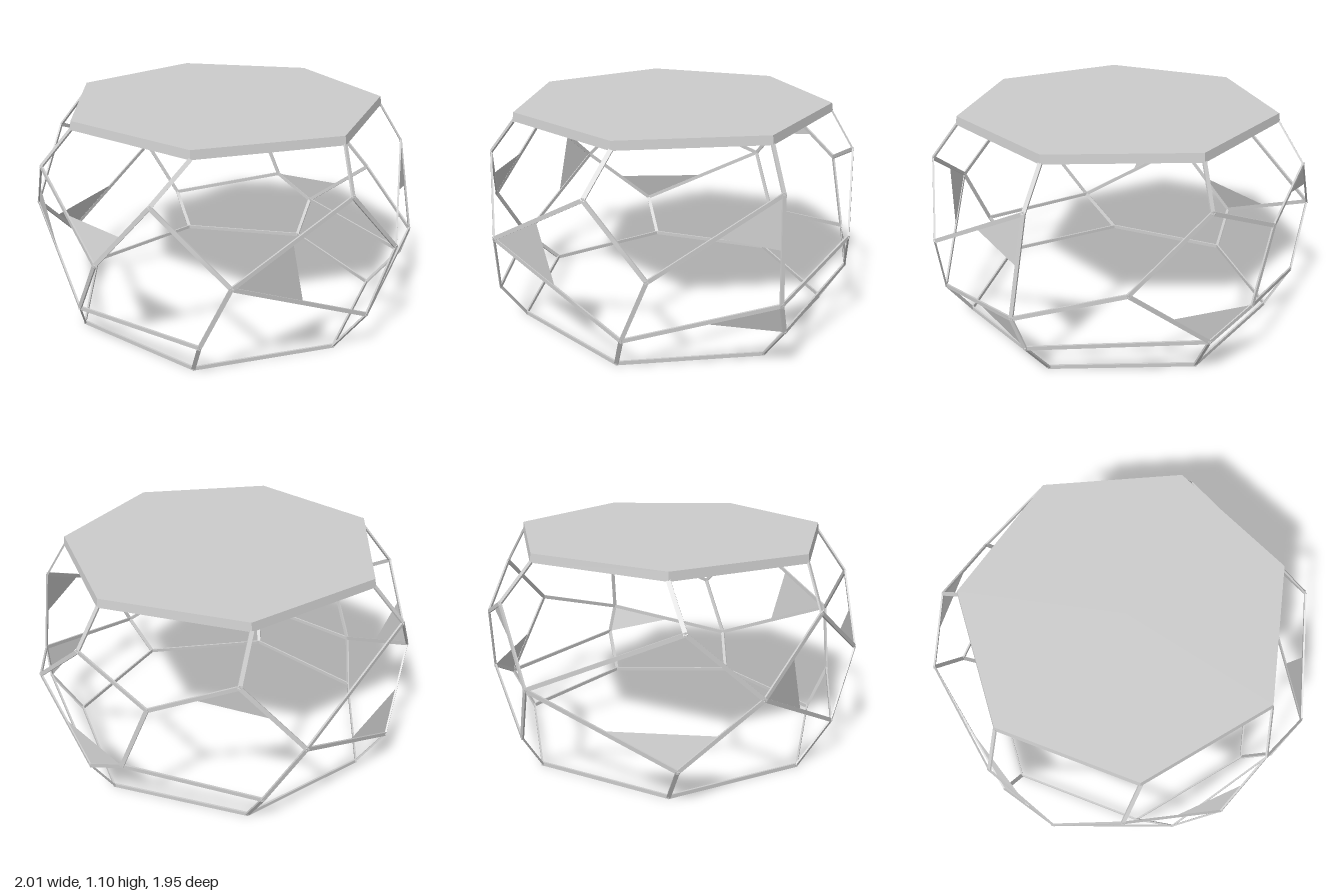
import * as THREE from 'three';

// Joints of the wire cage: seven uprights split into upper (U) and lower (L) joints, plus free joints between
const joints = {
  U0: [0.96, 0.87, 0.08], U1: [0.46, 0.87, 0.82], U2: [-0.29, 0.87, 0.91], U3: [-0.82, 0.87, 0.48],
  U4: [-0.82, 0.87, -0.48], U5: [-0.175, 0.87, -0.92], U6: [0.615, 0.87, -0.72],
  L0: [0.96, 0.215, -0.08], L1: [0.65, 0.215, 0.71], L2: [-0.01, 0.215, 0.92], L3: [-0.83, 0.215, 0.45],
  L4: [-0.865, 0.215, -0.37], L5: [-0.19, 0.215, -0.925], L6: [0.645, 0.215, -0.76],
  a: [0.995, 0.545, -0.22], b: [0.785, 0.545, 0.64], c: [0.215, 0.545, 0.96], d: [-0.615, 0.545, 0.77],
  e: [-0.995, 0.545, -0.235], f: [0.215, 0.545, -0.97],
  g: [-0.42, 0.345, -0.865], h: [0.70, 0.375, -0.75], i: [-0.54, 0.705, -0.78],
};

// Bars of the cage, each listed as its two end joints
const bars = [
  'U1-c', 'U1-b', 'U2-c', 'U2-d', 'U0-b', 'U0-a', 'U3-d', 'U3-e', 'U4-e', 'U4-i', 'U5-i', 'U5-f', 'U6-a', 'U6-h',
  'L0-a', 'L0-b', 'L0-h', 'L1-b', 'L1-L2', 'L2-c', 'L2-d', 'L3-d', 'L3-e', 'L4-e', 'L4-g', 'L5-g', 'L5-f',
  'L5-L6', 'L6-h', 'f-h', 'g-i',
];

// Panel corners; two joints with a dash mean the middle of that bar
const panels = [
  ['c', 'c-U1', 'c-U2'], ['d', 'd-U2', 'd-L2'], ['b', 'b-U0', 'b-L0'], ['U4', 'U4-i', 'U4-e'],
  ['L3', 'L3-d', 'L3-e'], ['U6', 'U6-a', 'U6-h'], ['h', 'h-L0', 'L6'], ['L5', 'L5-f', 'g'],
];

const SIDES = 7, RADIUS = 0.822, CENTRE_X = 0.01;
const BAR_WIDTH = 0.02, BAR_DEPTH = 0.009;
const TOP_Y = 1.104, SKIRT = 0.043;

export function createModel() {
  const group = new THREE.Group();
  const metal = new THREE.MeshStandardMaterial({ color: 0xcccccc, flatShading: true });
  const sheet = new THREE.MeshStandardMaterial({ color: 0xcccccc, flatShading: true, side: THREE.DoubleSide });

  function add(name, geometry, material) {
    const mesh = new THREE.Mesh(geometry, material);
    mesh.name = name;
    group.add(mesh);
    return mesh;
  }

  // Corners under the table top (T) and on the floor (B)
  const nodes = {};
  for (const [key, p] of Object.entries(joints)) nodes[key] = new THREE.Vector3(...p);
  for (let k = 0; k < SIDES; k++) {
    const t = (k / SIDES) * Math.PI * 2;
    const x = CENTRE_X + Math.cos(t) * RADIUS, z = Math.sin(t) * RADIUS;
    nodes['T' + k] = new THREE.Vector3(x, TOP_Y - SKIRT, z);
    nodes['B' + k] = new THREE.Vector3(x, BAR_WIDTH / 2, z);
  }

  // Flat bar between two points, its broad face turned outward
  function addBar(name, p, q) {
    const along = q.clone().sub(p);
    const length = along.length();
    along.normalize();
    const out = p.clone().add(q).setY(0);
    out.addScaledVector(along, -out.dot(along)).normalize();
    const across = along.clone().cross(out);
    const bar = add(name, new THREE.BoxGeometry(BAR_WIDTH, length + BAR_DEPTH, BAR_DEPTH), metal);
    bar.quaternion.setFromRotationMatrix(new THREE.Matrix4().makeBasis(across, along, out));
    bar.position.copy(p).add(q).multiplyScalar(0.5);
  }

  // Cage, struts, feet and floor ring
  for (const bar of bars) {
    const [p, q] = bar.split('-');
    addBar('cageBar', nodes[p], nodes[q]);
  }
  for (let k = 0; k < SIDES; k++) {
    addBar('topStrut', nodes['T' + k], nodes['U' + k]);
    addBar('foot', nodes['L' + k], nodes['B' + k]);
    addBar('floorRingBar', nodes['B' + k], nodes['B' + ((k + 1) % SIDES)]);
  }

  // Triangular infill panels
  const at = (key) => {
    const [p, q = p] = key.split('-');
    return nodes[p].clone().lerp(nodes[q], 0.5);
  };
  for (const corners of panels) {
    const geometry = new THREE.BufferGeometry().setFromPoints(corners.map(at));
    geometry.setIndex([0, 1, 2]);
    geometry.computeVertexNormals();
    add('infillPanel', geometry, sheet);
  }

  // Seven-sided table top, a thin sheet with a skirt and open below
  const top = add('tableTop', new THREE.CircleGeometry(RADIUS - 0.003, SIDES).rotateX(-Math.PI / 2), sheet);
  top.position.set(CENTRE_X, TOP_Y, 0);
  const skirt = add('tableSkirt',
    new THREE.CylinderGeometry(RADIUS - 0.003, RADIUS + 0.004, SKIRT, SIDES, 1, true, Math.PI / 2), sheet);
  skirt.position.set(CENTRE_X, TOP_Y - SKIRT / 2, 0);

  return group;
}
